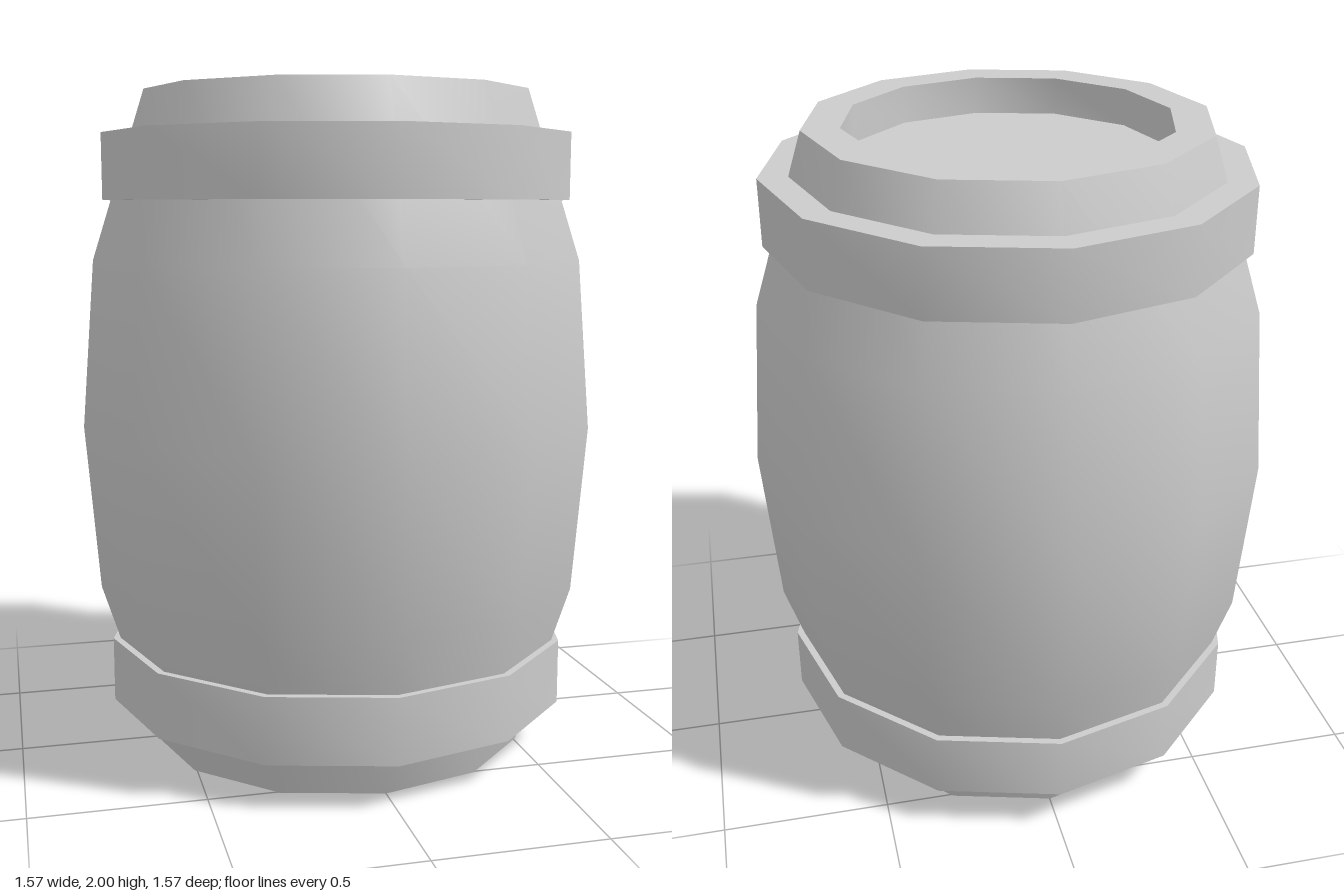
import * as THREE from 'three';
import { toCreasedNormals } from 'three/addons/utils/BufferGeometryUtils.js';

const SIDES = 12;
const material = new THREE.MeshStandardMaterial({ color: 0xcccccc });

// Twelve-sided turned part: smooth around, sharp at the rims
function turned(name, profile) {
  const points = profile.map(([r, y]) => new THREE.Vector2(r, y));
  const geometry = toCreasedNormals(new THREE.LatheGeometry(points, SIDES), 0.7);
  const mesh = new THREE.Mesh(geometry, material);
  mesh.name = name;
  return mesh;
}

export function createModel() {
  const group = new THREE.Group();
  group.name = 'barrel';

  // Bulging body with a recessed head at each end
  const recess = 0.11, inner = 0.475;
  group.add(turned('body', [
    [0, recess], [inner, recess], [inner, 0],
    [0.585, 0], [0.745, 0.5], [0.785, 1], [0.745, 1.5], [0.585, 2],
    [inner, 2], [inner, 2 - recess], [0, 2 - recess],
  ]));

  // Straight hoops, their inner walls sunk into the body
  for (const [name, y0, y1] of [['lowerHoop', 0.135, 0.332], ['upperHoop', 1.676, 1.873]]) {
    group.add(turned(name, [[0.59, y0], [0.713, y0], [0.713, y1], [0.59, y1]]));
  }
  return group;
}
